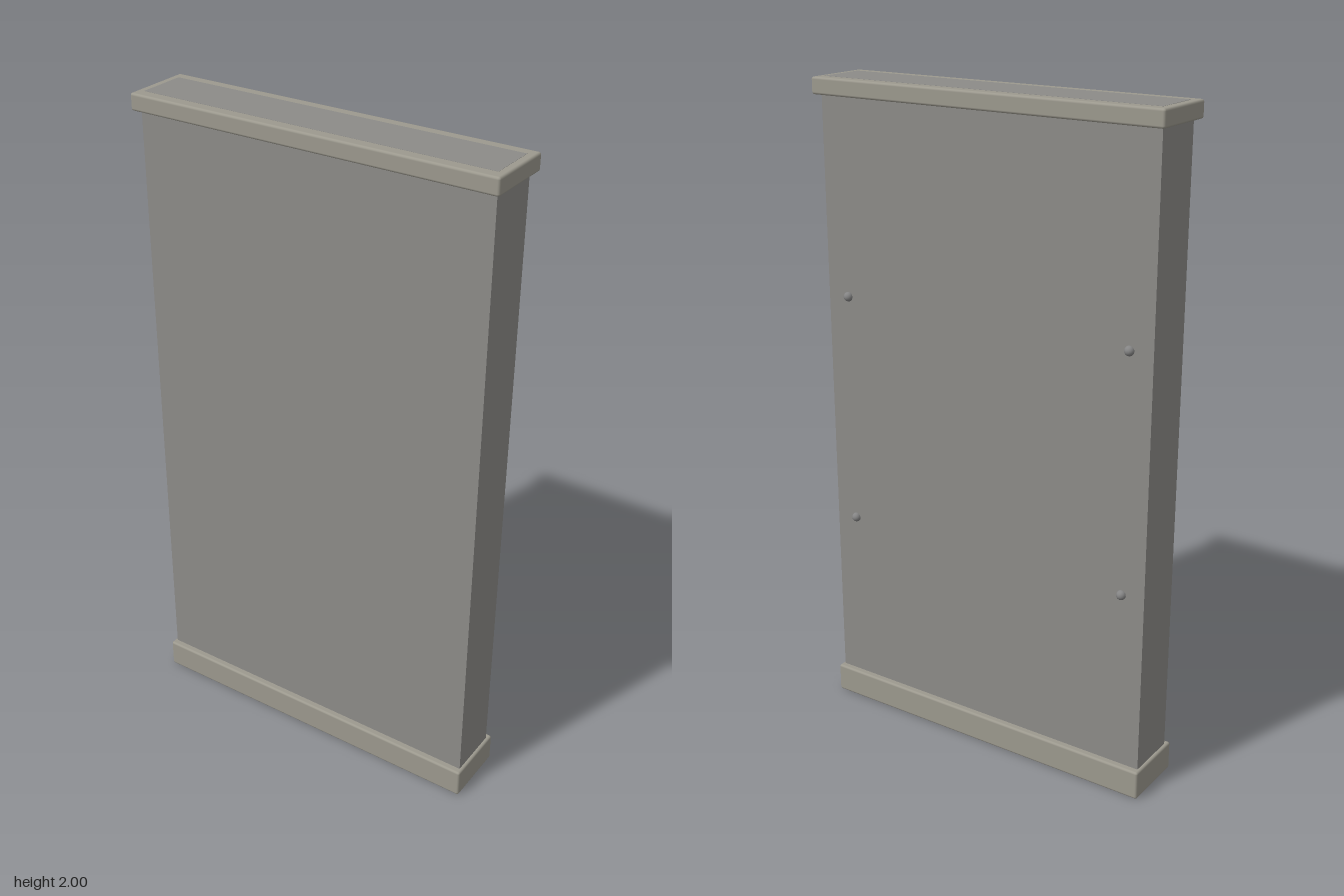
import * as THREE from 'three';
import { RoundedBoxGeometry } from 'three/addons/geometries/RoundedBoxGeometry.js';

export function createModel() {
  const group = new THREE.Group();
  const slate = new THREE.MeshStandardMaterial({ color: 0x8c8b88 });
  const stone = new THREE.MeshStandardMaterial({ color: 0x9c998e });
  const metal = new THREE.MeshStandardMaterial({ color: 0x858585 });

  const add = (name, geometry, material, x, y, z) => {
    const mesh = new THREE.Mesh(geometry, material);
    mesh.name = name;
    mesh.position.set(x, y, z);
    group.add(mesh);
  };

  // Flat slab between the plinth and the cap
  add('slab', new THREE.BoxGeometry(1.106, 1.89, 0.166), slate, 0, 1.02, 0);

  // Plinth and cap with softened edges
  add('plinth', new RoundedBoxGeometry(1.126, 0.09, 0.206, 2, 0.007), stone, 0, 0.045, 0);
  add('cap', new RoundedBoxGeometry(1.14, 0.05, 0.216, 2, 0.007), stone, 0, 1.975, 0);

  // Core of the slab showing through the top of the cap
  add('topInlay', new THREE.BoxGeometry(1.094, 0.01, 0.148), slate, 0, 1.9955, 0);

  // Four domed bolts on the back, centred on its surface
  const bolt = new THREE.SphereGeometry(0.0145, 16, 12);
  for (const x of [-0.48, 0.48]) {
    for (const y of [0.64, 1.36]) add('backBolt', bolt, metal, x, y, -0.084);
  }

  return group;
}
